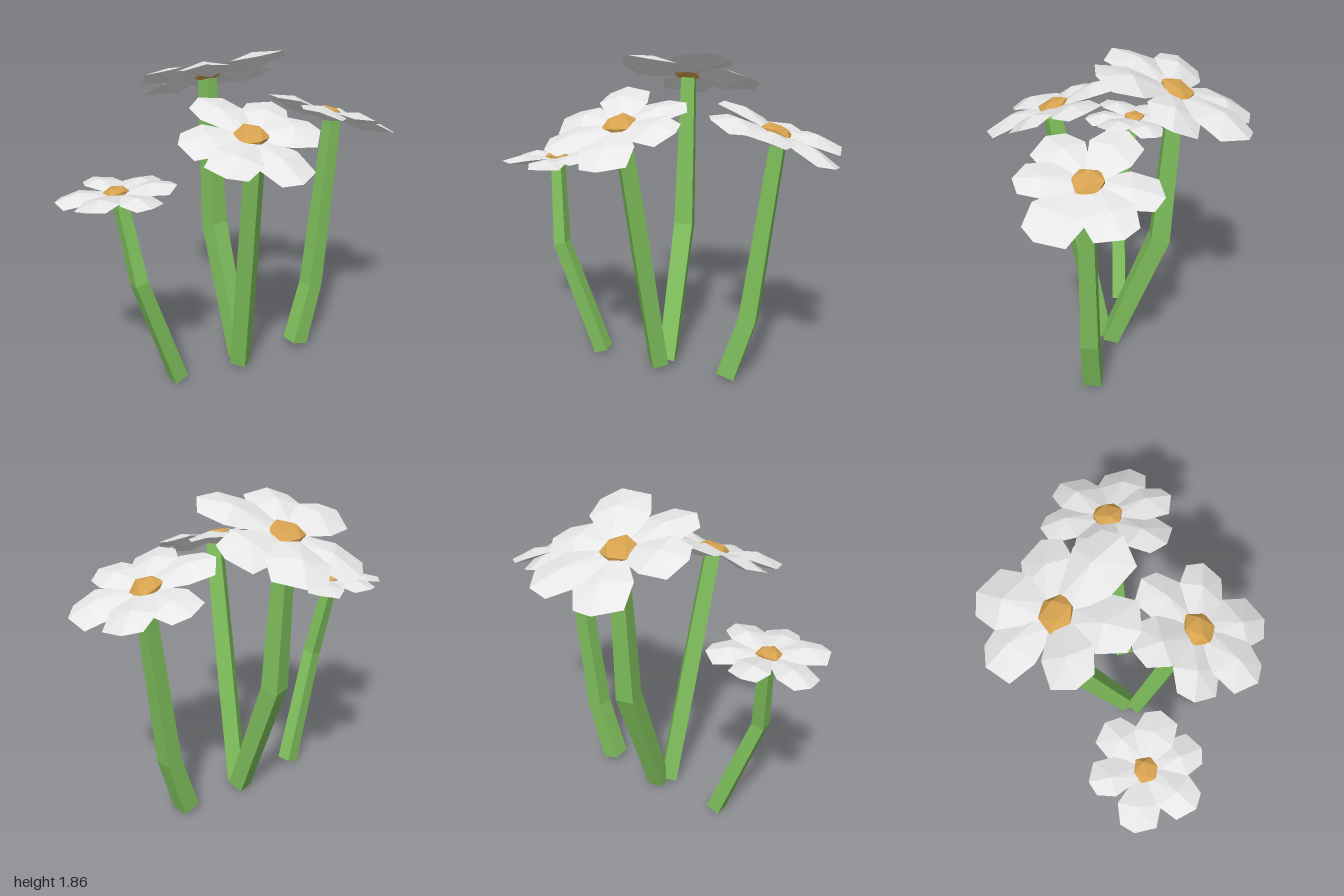
import * as THREE from 'three';

const material = (name, color) => {
  const m = new THREE.MeshStandardMaterial({ color });
  m.name = name;
  return m;
};

// Each flower: centre, slope of its plane along x and z, petal tips as [x, z],
// half-size of the yellow middle, and the stem as [x, y, z, halfWidth] with a twist.
const FLOWERS = [
  {
    name: 'leftmostFlower', centre: [-0.69, 1.197, -0.06], slope: [0.06, 0.02], middle: 0.072,
    tips: [[-0.98, -0.18], [-0.68, -0.35], [-0.41, -0.21], [-0.42, 0.09], [-0.64, 0.24], [-0.94, 0.13]],
    stem: [[-0.39, 0.017, 0, 0.043], [-0.63, 0.7, 0.03, 0.038], [-0.68, 1.18, -0.06, 0.031]], twist: 0,
  },
  {
    name: 'backFlower', centre: [0.04, 1.69, -0.33], slope: [-0.04, 0.39], middle: 0.105,
    tips: [[-0.09, -0.72], [0.31, -0.68], [0.46, -0.34], [0.28, 0.06], [-0.18, 0.02], [-0.36, -0.32]],
    stem: [[0.035, 0.025, 0.015, 0.048], [0.045, 0.8, -0.27, 0.054], [0.045, 1.67, -0.33, 0.038]], twist: 0.15,
  },
  {
    name: 'frontFlower', centre: [-0.12, 1.502, 0.34], slope: [0.1, -0.37], middle: 0.098,
    tips: [[-0.08, 0.72], [0.22, 0.46], [0.16, 0.12], [-0.2, -0.02], [-0.48, 0.24], [-0.43, 0.56]],
    stem: [[0, 0.025, 0.075, 0.047], [-0.05, 0.75, 0.215, 0.046], [-0.1, 1.46, 0.35, 0.041]], twist: 0.6,
  },
  {
    name: 'rightmostFlower', centre: [0.64, 1.46, 0.05], slope: [-0.34, 0.04], middle: 0.093,
    tips: [[0.67, -0.31], [0.95, -0.14], [0.98, 0.24], [0.66, 0.4], [0.37, 0.3], [0.32, -0.11]],
    stem: [[0.42, 0.03, 0.075, 0.053], [0.535, 0.4, 0.07, 0.049], [0.66, 1.44, 0.06, 0.037]], twist: 0,
  },
];

// Angular petal outline: distance along, sideways, height (all relative to petal length)
const RIM = [
  [0.05, -0.1, 0], [0.5, -0.33, 0.02], [0.88, -0.31, -0.02],
  [1.02, 0.02, 0.01], [0.92, 0.27, -0.02], [0.6, 0.36, 0.02], [0.05, 0.1, 0],
];

// Triangles with flat normals from points and index triples
function facetGeometry(points, faces) {
  const g = new THREE.BufferGeometry().setFromPoints(faces.map((i) => points[i]));
  g.computeVertexNormals();
  return g;
}

// Lens-shaped faceted petal lying along "tip" from the flower centre
function petalGeometry(centre, tip, normal, index) {
  const along = tip.clone().sub(centre);
  const length = along.length();
  along.normalize();
  const side = normal.clone().cross(along);
  const odd = index % 2 ? 1 : -1;
  const at = ([s, w, h]) => centre.clone()
    .addScaledVector(along, s * length)
    .addScaledVector(side, w * odd * length)
    .addScaledVector(normal, (h + odd * 0.04 * s + 0.05 * w) * length);
  const points = [...RIM, [0.62, 0.03, 0.1], [0.55, -0.03, -0.1]].map(at);
  const n = RIM.length;
  const faces = [];
  for (let i = 0; i < n; i++) {
    // mirrored petals run round the outline the other way
    const a = odd > 0 ? i : (i + 1) % n;
    const b = odd > 0 ? (i + 1) % n : i;
    faces.push(n, a, b, n + 1, b, a);
  }
  return facetGeometry(points, faces);
}

// Four-sided bent stem with capped ends
function stemGeometry(path, twist) {
  const centres = path.map(([x, y, z]) => new THREE.Vector3(x, y, z));
  const points = [];
  const faces = [];
  const last = path.length - 1;
  path.forEach((p, k) => {
    const tangent = centres[Math.min(k + 1, last)].clone().sub(centres[Math.max(k - 1, 0)]).normalize();
    const turn = new THREE.Quaternion().setFromUnitVectors(new THREE.Vector3(0, 1, 0), tangent);
    for (let i = 0; i < 4; i++) {
      const a = Math.PI / 4 + twist + (i * Math.PI) / 2;
      const r = p[3] * Math.SQRT2;
      points.push(new THREE.Vector3(Math.cos(a) * r, 0, -Math.sin(a) * r).applyQuaternion(turn).add(centres[k]));
      if (k < last) {
        const b = k * 4 + i, c = k * 4 + ((i + 1) % 4);
        faces.push(b, c, c + 4, b, c + 4, b + 4);
      }
    }
  });
  const t = last * 4;
  faces.push(0, 2, 1, 0, 3, 2, t, t + 1, t + 2, t, t + 2, t + 3);
  return facetGeometry(points, faces);
}

export function createModel() {
  const white = material('petal white', 0xe6e6e6);
  const green = material('stem green', 0x7fc05c);
  const yellow = material('centre yellow', 0xd6a24f);
  const model = new THREE.Group();
  model.name = 'flowers';

  for (const f of FLOWERS) {
    const flower = new THREE.Group();
    flower.name = f.name;
    const add = (name, geometry, mat) => {
      const mesh = new THREE.Mesh(geometry, mat);
      mesh.name = name;
      flower.add(mesh);
      return mesh;
    };
    const centre = new THREE.Vector3(...f.centre);
    const [sx, sz] = f.slope;
    const normal = new THREE.Vector3(-sx, 1, -sz).normalize();

    // Petals, each tip projected onto the tilted flower plane
    f.tips.forEach(([x, z], i) => {
      const tip = new THREE.Vector3(x, centre.y + sx * (x - centre.x) + sz * (z - centre.z), z);
      add(`petal${i + 1}`, petalGeometry(centre, tip, normal, i), white);
    });

    // Flattened faceted middle
    const middle = add('flowerCentre', new THREE.IcosahedronGeometry(1, 0), yellow);
    middle.scale.set(f.middle, f.middle * 0.4, f.middle);
    middle.quaternion.setFromUnitVectors(new THREE.Vector3(0, 1, 0), normal);
    middle.position.copy(centre).addScaledVector(normal, 0.008);

    add('stem', stemGeometry(f.stem, f.twist), green);
    model.add(flower);
  }
  return model;
}
